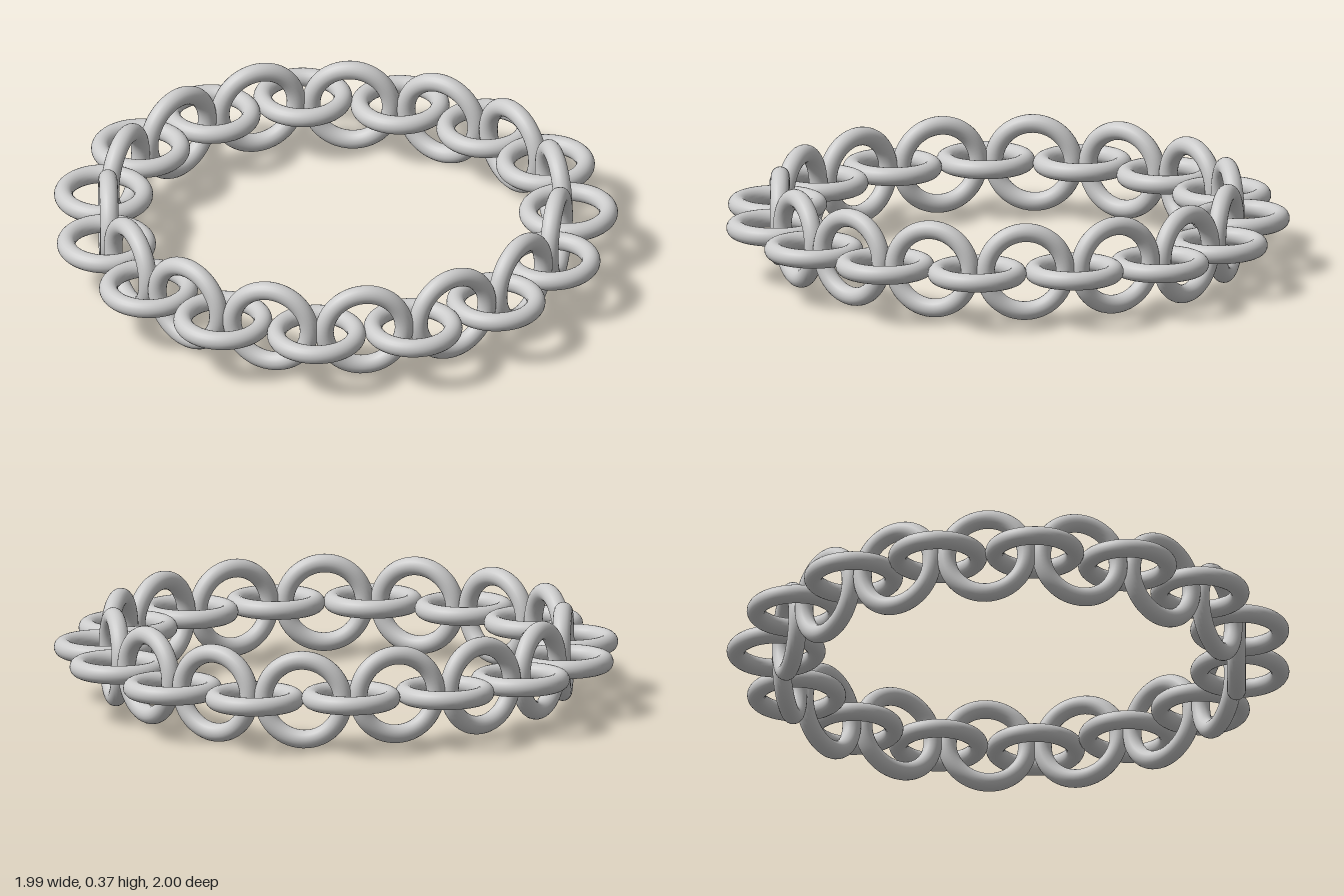
import * as THREE from 'three';

const PAIRS = 15;          // flat and upright links alternate
const RING = 0.142, TUBE = 0.033;
const CENTRE_X = 0.009, HEIGHT = 0.19, SAG = 0.015;

export function createModel() {
  const chain = new THREE.Group();
  chain.name = 'chain';
  const material = new THREE.MeshStandardMaterial({ color: 0xcccccc });
  const linkGeometry = new THREE.TorusGeometry(RING, TUBE, 20, 56);

  for (let i = 0; i < PAIRS * 2; i++) {
    const flat = i % 2 === 0;
    const angle = Math.PI + (i * Math.PI) / PAIRS;
    const radius = flat ? 0.828 : 0.798;

    const link = new THREE.Mesh(linkGeometry, material);
    link.name = flat ? 'flatLink' : 'uprightLink';
    // Four neighbouring links hang slightly lower than the rest
    const sag = i >= 11 && i <= 14 ? SAG : 0;
    link.position.set(
      CENTRE_X + radius * Math.cos(angle),
      HEIGHT - sag,
      radius * Math.sin(angle)
    );
    // Upright links lie along the tangent of the loop
    if (flat) link.rotation.x = Math.PI / 2;
    else link.rotation.y = Math.PI / 2 - angle;
    chain.add(link);
  }
  return chain;
}
